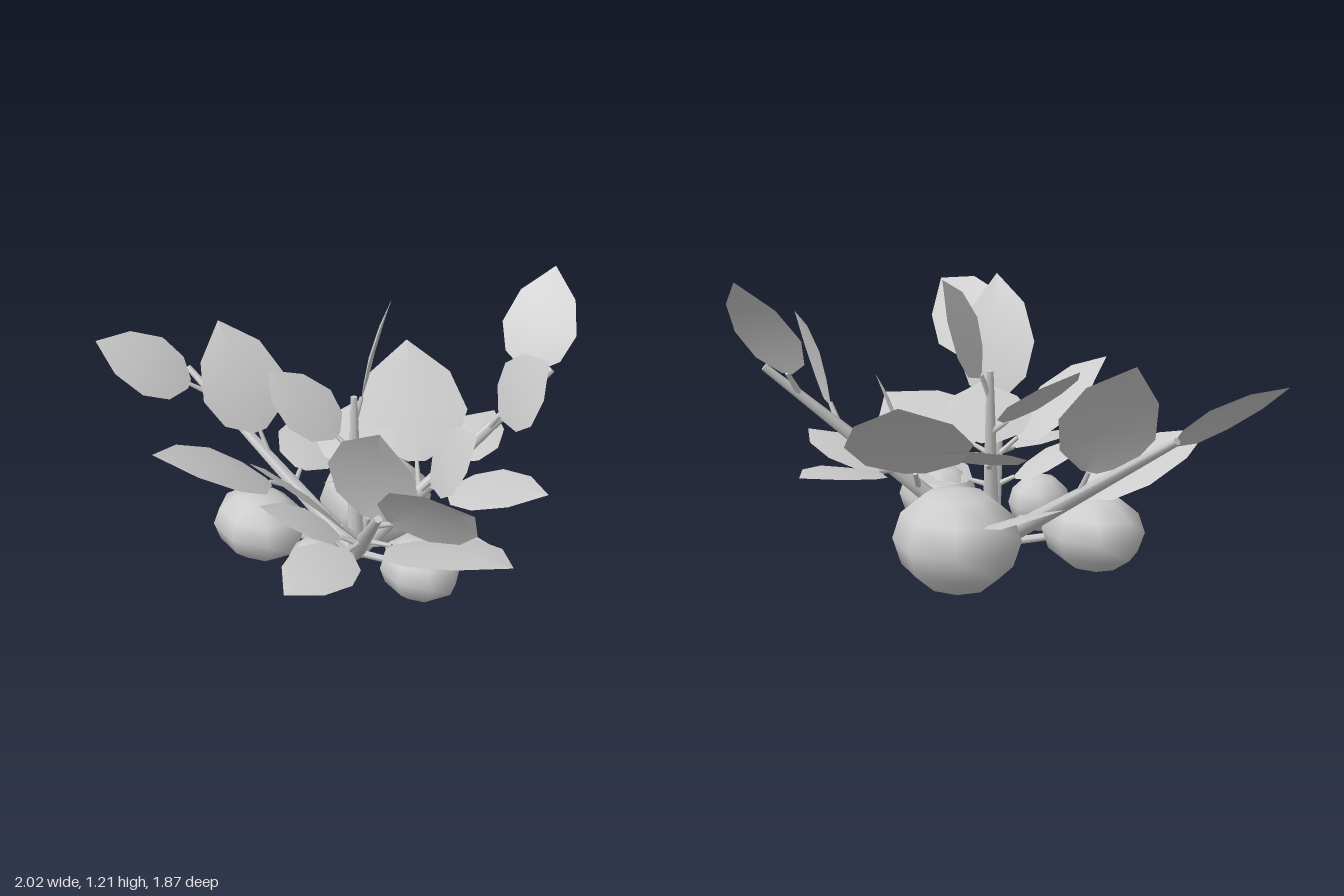
import * as THREE from 'three';

const vec = (x, y, z) => new THREE.Vector3(x, y, z);
const UP = vec(0, 1, 0);
const ROOT = vec(0.06, 0.1, -0.21);
const grey = new THREE.MeshStandardMaterial({ color: 0xcccccc });
const leafMat = new THREE.MeshStandardMaterial({ color: 0xcccccc, side: THREE.DoubleSide });

// Tapered rod between two points
function rod(name, a, b, r0, r1, sides) {
  const dir = b.clone().sub(a);
  const mesh = new THREE.Mesh(new THREE.CylinderGeometry(r1, r0, dir.length(), sides), grey);
  mesh.position.copy(a).lerp(b, 0.5);
  mesh.quaternion.setFromUnitVectors(UP, dir.normalize());
  mesh.name = name;
  return mesh;
}

// Pointed blade, three points across, gently arched; roll turns it about its midrib
function blade(base, tip, roll, spread) {
  const rows = [[0, 0.16], [0.14, 0.74], [0.4, 1], [0.72, 0.74], [1, 0]];
  const along = tip.clone().sub(base);
  const length = along.length();
  const axis = along.clone().normalize();
  const side = axis.clone().cross(UP).normalize().applyAxisAngle(axis, -roll);
  const normal = side.clone().cross(axis);
  const pos = [], idx = [];
  rows.forEach(([t, w], i) => {
    for (let s = -1; s <= 1; s++) {
      const lift = 0.05 * Math.sin(Math.PI * t) - 0.03 * w * s * s;
      const p = base.clone().addScaledVector(along, t)
        .addScaledVector(side, spread * length * w * s)
        .addScaledVector(normal, length * lift);
      pos.push(p.x, p.y, p.z);
    }
    if (i === 0) return;
    for (let s = 0; s < 2; s++) {
      const a = (i - 1) * 3 + s, b = a + 3;
      idx.push(a, a + 1, b, a + 1, b + 1, b);
    }
  });
  const geo = new THREE.BufferGeometry();
  geo.setAttribute('position', new THREE.Float32BufferAttribute(pos, 3));
  geo.setIndex(idx);
  geo.computeVertexNormals();
  const mesh = new THREE.Mesh(geo, leafMat);
  mesh.name = 'leafBlade';
  return mesh;
}

// Branch from the root with its leaves:
// [place along branch, tip x, y, z, roll, half width as a share of length]
function branch(name, end, leaves) {
  const group = new THREE.Group();
  group.name = name;
  group.add(rod('stem', ROOT, end, 0.04, 0.015, 6));
  for (const [t, x, y, z, roll, spread = 0.36] of leaves) {
    const tip = vec(x, y, z);
    const joint = ROOT.clone().lerp(end, t);
    const base = joint.clone().lerp(tip, 0.2);
    const leaf = new THREE.Group();
    leaf.name = 'leaf';
    leaf.add(rod('leafStalk', joint, base, 0.014, 0.009, 5), blade(base, tip, roll, spread));
    group.add(leaf);
  }
  return group;
}

// Low-sided round fruit on a short stalk, a little longer along one diagonal
function fruit(centre, rx, ry, rz) {
  const group = new THREE.Group();
  group.name = 'fruit';
  const body = new THREE.Mesh(new THREE.SphereGeometry(1, 8, 6), grey);
  body.name = 'fruitBody';
  body.scale.set(rx, ry, rz);
  body.rotation.y = -Math.PI / 4;
  body.position.copy(centre);
  group.add(body, rod('fruitStalk', ROOT, centre, 0.018, 0.014, 5));
  return group;
}

export function createModel() {
  const plant = new THREE.Group();
  plant.name = 'fruitingPlant';

  plant.add(
    branch('frontBranch', vec(0.04, 0.81, 0.63), [
      [0.5, 0.06, 1.08, 0.49, 0.62],
      [0.82, 0.33, 0.99, 0.93, 0.9],
      [0.38, -0.4, 0.79, 0.15, -0.27],
      [0.4, -0.3, 0.4, 0.49, 0.21],
      [0.38, 0.56, 0.53, 0.6, 0.22, 0.39],
      [0.25, -0.36, 0.49, -0.01, -0.1],
      [0.25, 0.57, 0.36, 0.2, 0.12],
    ]),
    branch('leftBranch', vec(0.91, 0.85, -0.37), [
      [0.36, 0.82, 0.5, 0.06, -0.07],
      [0.33, 0.53, 0.75, -0.02, -1.05],
      [0.68, 0.83, 1.02, -0.12, -1.1, 0.4],
      [0.85, 0.96, 1.21, -0.62, 0],
      [0.43, 0.74, 0.5, -0.67, 0],
      [0.33, 0.36, 0.8, -0.82, -0.04, 0.42],
    ]),
    branch('rearRightBranch', vec(-0.61, 0.7, -0.86), [
      [0.85, -1, 0.88, -0.8, 0.5],
      [0.5, -0.47, 0.95, -0.8, 0.5],
      [0.34, -0.78, 0.6, -0.28, -0.06, 0.39],
      [0.36, 0, 0.4, -0.94, -0.3],
    ]),
    branch('uprightBranch', vec(0.06, 0.82, -0.28), [
      [0.65, -0.28, 0.86, -0.48, 0.05, 0.44],
      [0.85, 0.23, 1.19, -0.41, 0.95],
      [0.5, 0.11, 0.68, 0.16, 0, 0.5],
      [0.45, 0.12, 0.6, -0.65, 0, 0.5],
    ]),
  );

  plant.add(
    fruit(vec(0.18, 0.205, -0.47), 0.26, 0.205, 0.235),
    fruit(vec(-0.34, 0.2, -0.33), 0.22, 0.155, 0.18),
    fruit(vec(-0.13, 0.205, 0.02), 0.128, 0.12, 0.128),
    fruit(vec(0.29, 0.21, 0.1), 0.18, 0.135, 0.15),
  );
  return plant;
}
